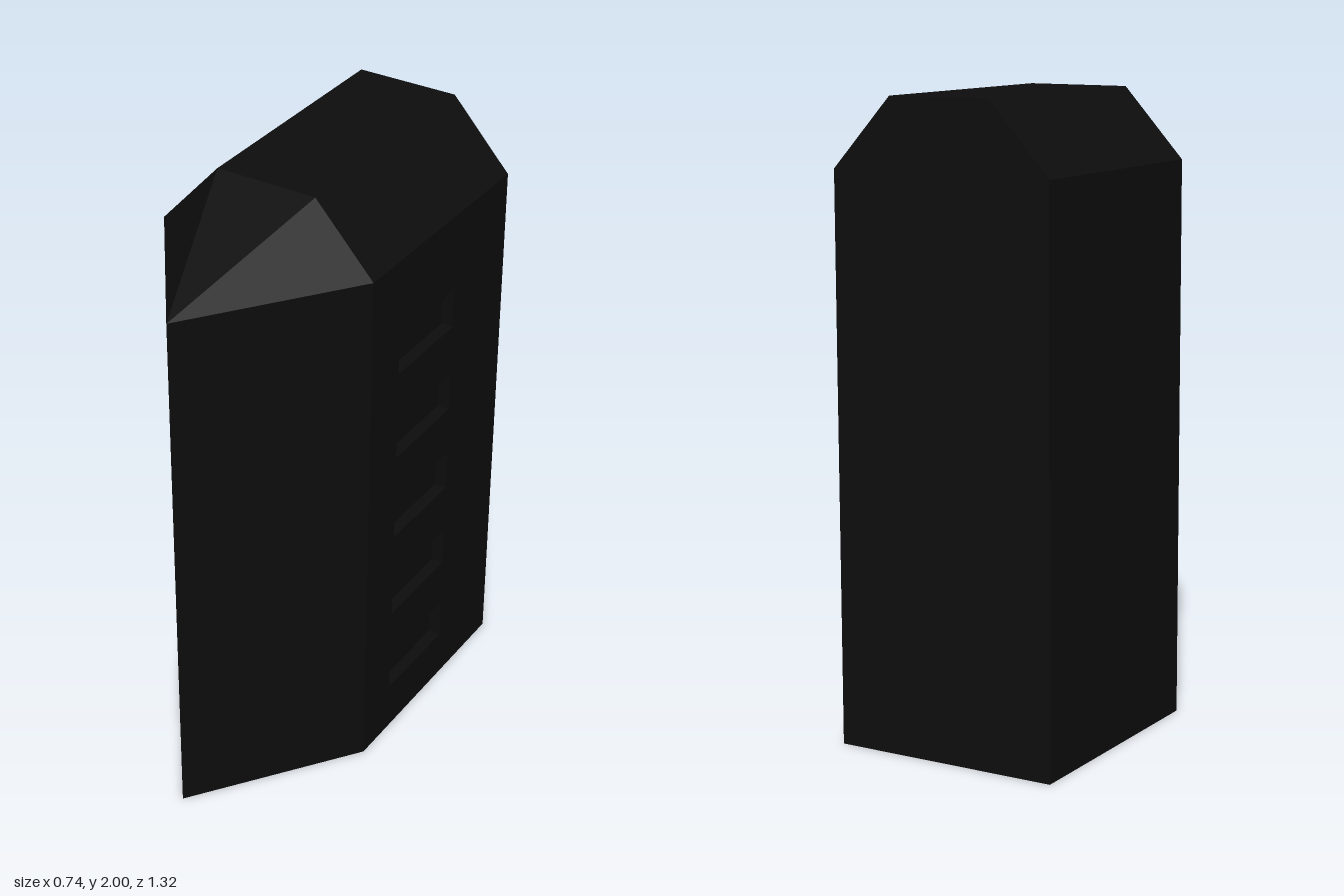
import * as THREE from 'three';

const material = new THREE.MeshStandardMaterial({ color: 0x0d0d0d, flatShading: true });
const W = 0.37, RIDGE = 0.17, BACK = -0.66, SHOULDER = 0.15, TIP = 0.66, EAVE = 1.78, TOP = 2;

// Flat convex panels, corners listed counter-clockwise from outside
function panels(name, faces) {
  const positions = [];
  for (const f of faces)
    for (let i = 1; i < f.length - 1; i++) positions.push(...f[0], ...f[i], ...f[i + 1]);
  const geometry = new THREE.BufferGeometry();
  geometry.setAttribute('position', new THREE.Float32BufferAttribute(positions, 3));
  geometry.computeVertexNormals();
  const mesh = new THREE.Mesh(geometry, material);
  mesh.name = name;
  return mesh;
}

// Mirror a panel across x = 0, keeping it facing outward
const mirror = (face) => face.map(([x, y, z]) => [-x, y, z]).reverse();

function rectangle(path, x0, y0, x1, y1) {
  path.moveTo(x0, y0).lineTo(x1, y0).lineTo(x1, y1).lineTo(x0, y1).closePath();
  return path;
}

export function createModel() {
  const group = new THREE.Group();
  group.name = 'tower';

  // Wedge-shaped front walls
  const bow = [[0, 0, TIP], [W, 0, SHOULDER], [W, EAVE, SHOULDER], [0, EAVE, TIP]];
  group.add(panels('bowWalls', [bow, mirror(bow)]));

  // Plain right wall, back wall and floor
  const side = [[W, 0, SHOULDER], [W, 0, BACK], [W, EAVE, BACK], [W, EAVE, SHOULDER]];
  group.add(panels('plainSideWall', [mirror(side)]));
  group.add(panels('backWall', [[
    [W, 0, BACK], [-W, 0, BACK], [-W, EAVE, BACK],
    [-RIDGE, TOP, BACK], [RIDGE, TOP, BACK], [W, EAVE, BACK],
  ]]));
  group.add(panels('floor', [[
    [-W, 0, BACK], [W, 0, BACK], [W, 0, SHOULDER], [0, 0, TIP], [-W, 0, SHOULDER],
  ]]));

  // Chamfered roof with a faceted nose
  const slope = [[W, EAVE, SHOULDER], [W, EAVE, BACK], [RIDGE, TOP, BACK], [RIDGE, TOP, SHOULDER]];
  const cheek = [[0, EAVE, TIP], [W, EAVE, SHOULDER], [RIDGE, TOP, SHOULDER]];
  group.add(panels('roof', [
    slope, mirror(slope), cheek, mirror(cheek),
    [[-RIDGE, TOP, SHOULDER], [RIDGE, TOP, SHOULDER], [RIDGE, TOP, BACK], [-RIDGE, TOP, BACK]],
    [[0, EAVE, TIP], [RIDGE, TOP, SHOULDER], [-RIDGE, TOP, SHOULDER]],
  ]));

  // Left wall pierced by a column of five recessed windows (shape x = -z)
  const wall = rectangle(new THREE.Shape(), -SHOULDER, 0, -BACK, EAVE);
  const z0 = -0.01, z1 = -0.34, height = 0.135, depth = 0.04;
  for (let i = 0; i < 5; i++) {
    const y0 = 0.165 + i * 0.305, y1 = y0 + height;
    wall.holes.push(rectangle(new THREE.Path(), -z0, y0, -z1, y1));

    const rim = [[W, y0, z0], [W, y0, z1], [W, y1, z1], [W, y1, z0]];
    const pane = rim.map(([x, y, z]) => [x - depth, y, z]);
    const reveals = rim.map((p, k) => {
      const n = (k + 1) % 4;
      return [p, rim[n], pane[n], pane[k]];
    });
    group.add(panels('windowRecess' + (i + 1), [pane, ...reveals]));
  }
  const windowWall = new THREE.Mesh(new THREE.ShapeGeometry(wall), material);
  windowWall.name = 'windowWall';
  windowWall.rotation.y = Math.PI / 2;
  windowWall.position.x = W;
  group.add(windowWall);

  return group;
}
